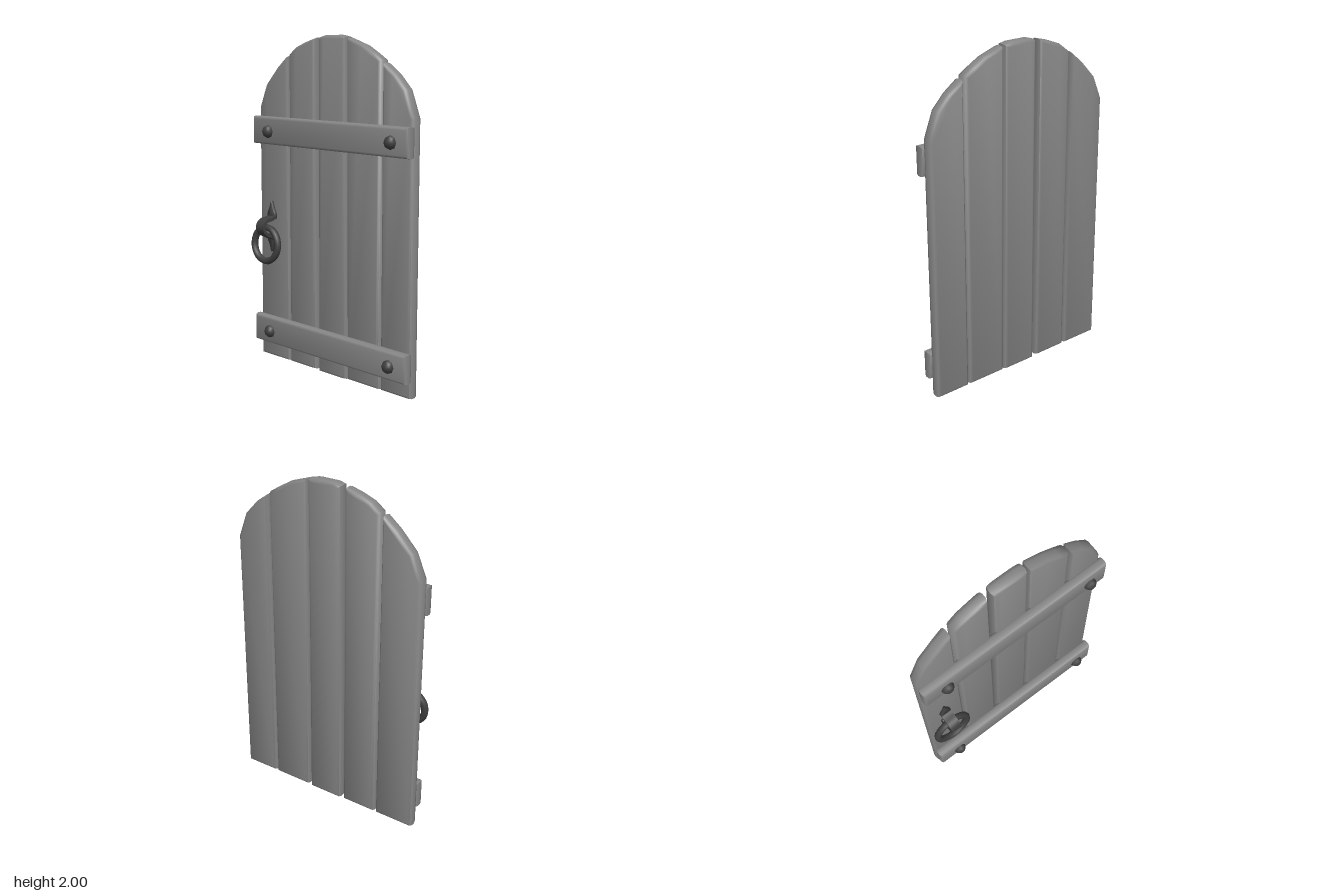
import * as THREE from 'three';
import { toCreasedNormals } from 'three/addons/utils/BufferGeometryUtils.js';

const wood = new THREE.MeshStandardMaterial({ color: 0x868686 });
const iron = new THREE.MeshStandardMaterial({ color: 0x404040 });

function add(parent, name, geometry, material, x = 0, y = 0, z = 0) {
  const mesh = new THREE.Mesh(geometry, material);
  mesh.name = name;
  mesh.position.set(x, y, z);
  parent.add(mesh);
  return mesh;
}

// Solid with rounded edges, cut from an outline and reaching from z0 to z1
function slab(points, z0, z1, inset, round, segments = 2) {
  const shape = new THREE.Shape(points.map(([x, y]) => new THREE.Vector2(x, y)));
  const g = new THREE.ExtrudeGeometry(shape, {
    depth: z1 - z0 - 2 * round, bevelEnabled: true, bevelThickness: round,
    bevelSize: inset, bevelOffset: -inset, bevelSegments: segments,
  });
  g.translate(0, 0, z0 + round);
  return toCreasedNormals(g, 1.1);
}

export function createModel() {
  const door = new THREE.Group();
  door.name = 'door';

  // Planks: bottom corners, then the arched top from right to left
  const planks = [
    [[-0.61, 0.005], [-0.365, 0.005], [-0.367, 1.88], [-0.45, 1.815], [-0.55, 1.71], [-0.61, 1.57]],
    [[-0.35, 0.005], [-0.133, 0.005], [-0.135, 1.985], [-0.21, 1.965], [-0.29, 1.935], [-0.35, 1.89]],
    [[-0.105, 0], [0.112, 0], [0.108, 1.99], [0.06, 2], [-0.06, 2], [-0.105, 1.988]],
    [[0.13, 0.005], [0.376, 0.005], [0.374, 1.865], [0.31, 1.905], [0.24, 1.945], [0.12, 1.985]],
    [[0.388, 0.005], [0.605, 0.005], [0.605, 1.56], [0.548, 1.71], [0.472, 1.79], [0.386, 1.85]],
  ];
  planks.forEach((p, i) => add(door, `plank${i + 1}`, slab(p, -0.094, -0.018, 0.018, 0.026), wood));

  // Cross rails with two bolts each
  for (const [name, y] of [['lower', 0.193], ['upper', 1.437]]) {
    const outline = [[-0.611, -0.085], [0.617, -0.088], [0.617, 0.08], [-0.611, 0.082]];
    add(door, `${name}Rail`, slab(outline, -0.03, 0.037, 0.016, 0.022), wood, 0, y);
    for (const x of [-0.469, 0.499]) {
      const dome = new THREE.SphereGeometry(0.04, 8, 4, 0, Math.PI * 2, 0, Math.PI * 0.6);
      dome.rotateX(Math.PI / 2);
      add(door, `${name}Bolt`, dome, iron, x, y - 0.006, 0.034);
    }
  }

  // Ring handle
  const handle = new THREE.Group();
  handle.name = 'handle';
  handle.position.x = -0.492;
  door.add(handle);

  const ring = add(handle, 'ring', new THREE.TorusGeometry(0.104, 0.021, 8, 28), iron, 0, 0.738, 0.043);
  ring.rotation.x = -0.08;

  // Pointed ends of the mounting strap, lying against the planks
  const point = [
    [-0.03, 0], [0.03, 0], [0.036, 0.025], [0.03, 0.045], [0.014, 0.075], [0.008, 0.1],
    [0, 0.112], [-0.008, 0.1], [-0.014, 0.075], [-0.03, 0.045], [-0.036, 0.025],
  ];
  const pointGeometry = slab(point, -0.021, 0.002, 0.003, 0.005, 1);
  add(handle, 'upperPoint', pointGeometry, iron, 0, 0.89);
  add(handle, 'lowerPoint', pointGeometry, iron, 0, 0.797).rotation.z = Math.PI;

  // Strap bent outward around the ring, drawn in the side plane (z, y)
  const path = new THREE.CatmullRomCurve3([
    [-0.015, 0.905], [0.02, 0.893], [0.06, 0.886], [0.083, 0.862],
    [0.084, 0.83], [0.06, 0.803], [0.025, 0.788], [-0.015, 0.765],
  ].map(([z, y]) => new THREE.Vector3(z, y, 0)));
  const outer = [], inner = [];
  for (let i = 0; i <= 18; i++) {
    const p = path.getPoint(i / 18), t = path.getTangent(i / 18);
    outer.push(new THREE.Vector2(p.x - t.y * 0.01, p.y + t.x * 0.01));
    inner.unshift(new THREE.Vector2(p.x + t.y * 0.01, p.y - t.x * 0.01));
  }
  const strap = new THREE.ExtrudeGeometry(new THREE.Shape([...outer, ...inner]), { depth: 0.066, bevelEnabled: false });
  strap.translate(0, 0, -0.033);
  strap.rotateY(-Math.PI / 2);
  add(handle, 'strap', toCreasedNormals(strap, 0.7), iron);

  return door;
}
